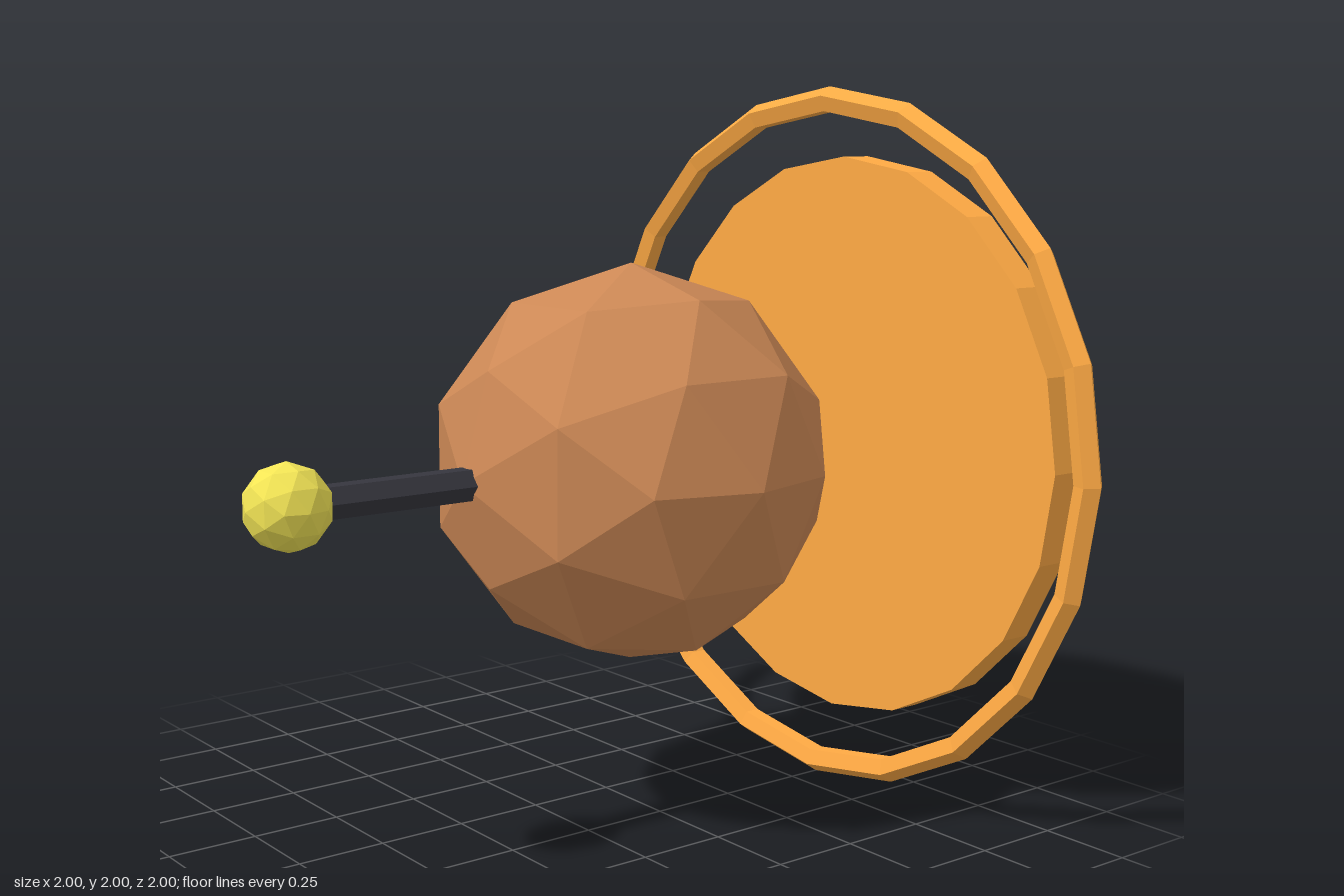
import * as THREE from 'three';

export function createModel() {
  const model = new THREE.Group();
  const material = (color) => new THREE.MeshStandardMaterial({ color, flatShading: true });
  const gold = material(0xffaa44);

  const add = (name, geometry, mat, z) => {
    const mesh = new THREE.Mesh(geometry, mat);
    mesh.name = name;
    mesh.position.set(0, 1, z);
    model.add(mesh);
  };

  // Faceted round body
  add('body', new THREE.IcosahedronGeometry(0.536, 1), material(0xcc8855), -0.14);

  // Hexagonal rod pointing forward, with a corner on each side
  const rod = new THREE.CylinderGeometry(0.046, 0.046, 0.55, 6).rotateY(Math.PI / 2).rotateX(Math.PI / 2);
  add('rod', rod, material(0x36363e), 0.575);

  // Small ball on the tip of the rod
  add('tipBall', new THREE.IcosahedronGeometry(0.111, 1), material(0xf2e455), 0.889);

  // Thin ring with a five-sided section, behind the body
  add('ring', new THREE.TorusGeometry(0.962, 0.038, 5, 20), gold, -0.845);

  // Flat disc at the back
  add('backDisc', new THREE.CylinderGeometry(0.805, 0.805, 0.096, 20).rotateX(Math.PI / 2), gold, -0.952);

  return model;
}
